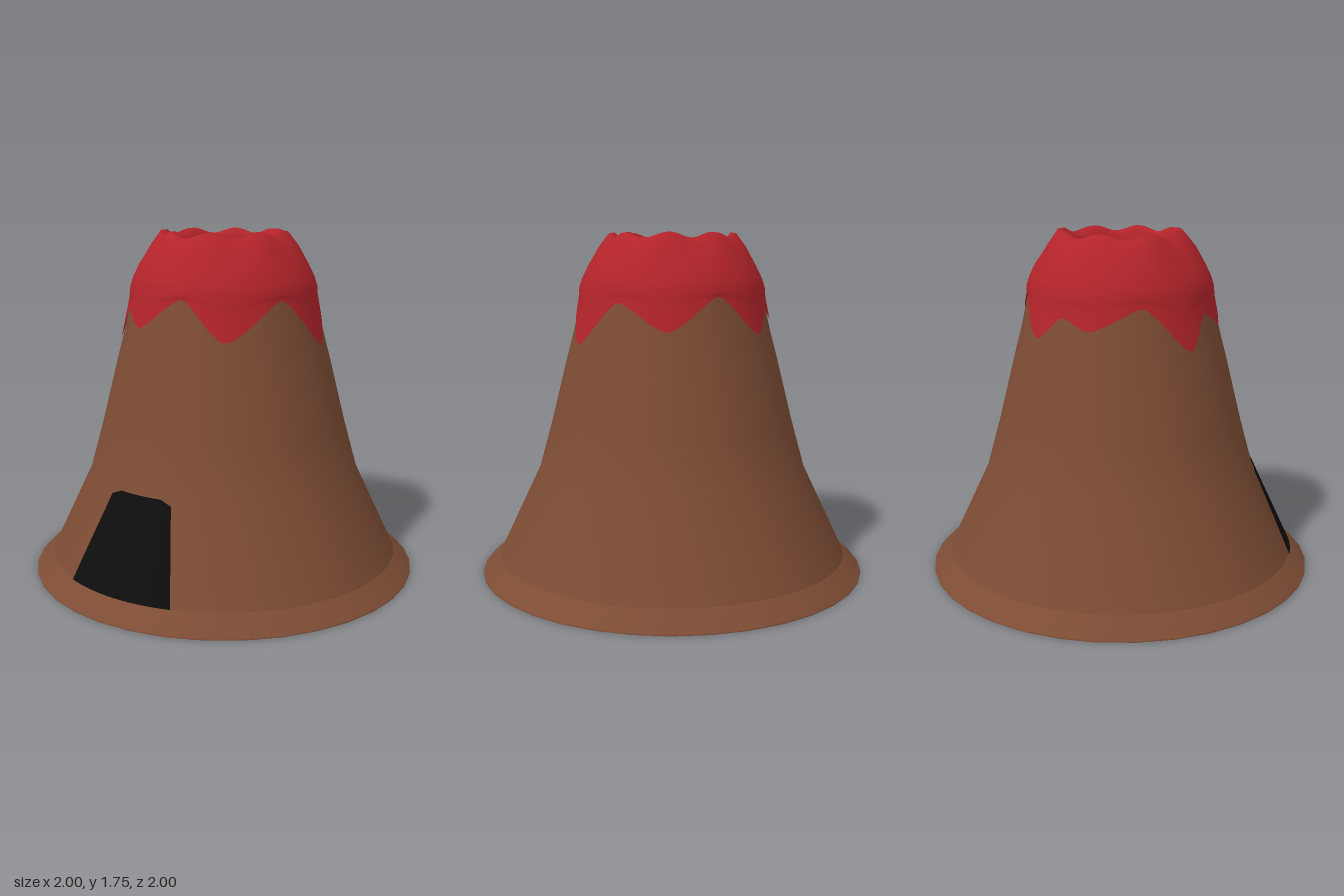
import * as THREE from 'three';

const V2 = (x, y) => new THREE.Vector2(x, y);
const SIDES = 36;

// Mountain silhouette: radius, height
const SLOPE = [[0.91, 0.09], [0.7, 0.53], [0.63, 0.78], [0.55, 1.1], [0.51, 1.25], [0.465, 1.45]];

// Lower edge of the lava: angle from the front (degrees), height
const DRIPS = [[10, 1.45], [35, 1.25], [70, 1.44], [100, 1.2], [128, 1.42], [158, 1.28], [188, 1.45],
  [215, 1.25], [232, 1.37], [248, 1.31], [279, 1.42], [306, 1.2], [322, 1.37], [340, 1.29], [370, 1.45]];

function slopeRadius(y) {
  let i = 0;
  while (i < SLOPE.length - 2 && y > SLOPE[i + 1][1]) i++;
  const [r0, y0] = SLOPE[i], [r1, y1] = SLOPE[i + 1];
  return r0 + (r1 - r0) * (y - y0) / (y1 - y0);
}

function dripHeight(deg) {
  const d = deg < 10 ? deg + 360 : deg;
  const i = Math.max(1, DRIPS.findIndex(p => p[0] >= d));
  const [a0, y0] = DRIPS[i - 1], [a1, y1] = DRIPS[i];
  const t = (d - a0) / (a1 - a0);
  const s = 0.5 * t + 0.5 * t * t * (3 - 2 * t); // softened straight line
  return y0 + (y1 - y0) * s;
}

// Surface from rows of points; columns run counter-clockwise seen from outside, rows upwards
function gridSurface(rows, cols, point, closed) {
  const pos = [], idx = [];
  for (let j = 0; j < rows; j++) for (let i = 0; i < cols; i++) pos.push(...point(i, j));
  const spans = closed ? cols : cols - 1;
  for (let j = 0; j < rows - 1; j++) {
    for (let i = 0; i < spans; i++) {
      const n = (i + 1) % cols;
      const a = j * cols + i, b = j * cols + n, c = a + cols, d = b + cols;
      idx.push(a, b, d, a, d, c);
    }
  }
  const g = new THREE.BufferGeometry();
  g.setAttribute('position', new THREE.Float32BufferAttribute(pos, 3));
  g.setIndex(idx);
  g.computeVertexNormals();
  return g;
}

export function createModel() {
  const model = new THREE.Group();
  const mat = color => new THREE.MeshStandardMaterial({ color, side: THREE.DoubleSide });
  const rock = mat(0x7d4c34), lava = mat(0xb3242a), dark = mat(0x0d0d0d);
  const add = (name, geometry, material) => {
    const mesh = new THREE.Mesh(geometry, material);
    mesh.name = name;
    model.add(mesh);
    return mesh;
  };

  // Rock cone with a flared foot and a flat base
  add('mountain', new THREE.LatheGeometry(SLOPE.map(p => V2(...p)), SIDES), rock);
  add('foot', new THREE.LatheGeometry([V2(1, 0), V2(1, 0.008), V2(0.91, 0.09)], SIDES), rock);
  add('base', new THREE.CircleGeometry(1, SIDES).rotateX(Math.PI / 2), rock);

  // Lava cap: dripping skirt, rounded shoulder, wavy rim and crater bowl
  const N = 108;
  const upper = [[0.478, 1.47], [0.462, 1.52], [0.43, 1.585], [0.375, 1.675], [0.325, 1.735], [0.295, 1.738],
    [0.27, 1.7], [0.25, 1.62], [0.2, 1.54], [0.11, 1.505], [0, 1.5]];
  const skirtRows = 5;
  add('lavaCap', gridSurface(skirtRows + upper.length, N, (i, j) => {
    const a = i / N * Math.PI * 2;
    let r, y;
    if (j < skirtRows) {
      const low = dripHeight(i / N * 360);
      y = low + (1.455 - low) * j / skirtRows;
      r = slopeRadius(y) + 0.008 + 0.003 * j / skirtRows;
    } else {
      [r, y] = upper[j - skirtRows];
      const k = Math.max(0, 1 - Math.abs(y - 1.735) / 0.12); // strongest at the rim
      y += k * 0.014 * Math.cos(8 * a + Math.PI);
      r *= 1 + k * (0.035 * Math.sin(3 * a + 0.6) + 0.025 * Math.cos(5 * a));
    }
    return [r * Math.sin(a), y, r * Math.cos(a)];
  }, true), lava);

  // Dark cave opening laid on the front slope, with clipped top corners
  const cols = 13, heights = 7;
  add('caveOpening', gridSurface(heights, cols, (i, j) => {
    const u = i / (cols - 1) * 2 - 1, v = j / (heights - 1);
    const half = 0.3 - 0.12 * v;
    const x = u * half;
    const top = 0.535 - Math.max(0, Math.abs(x) - 0.12) * 0.4 * v;
    const y = 0.092 + (top - 0.092) * v;
    const r = slopeRadius(y) + 0.006;
    return [x, y, Math.sqrt(r * r - x * x)];
  }, false), dark);

  return model;
}
